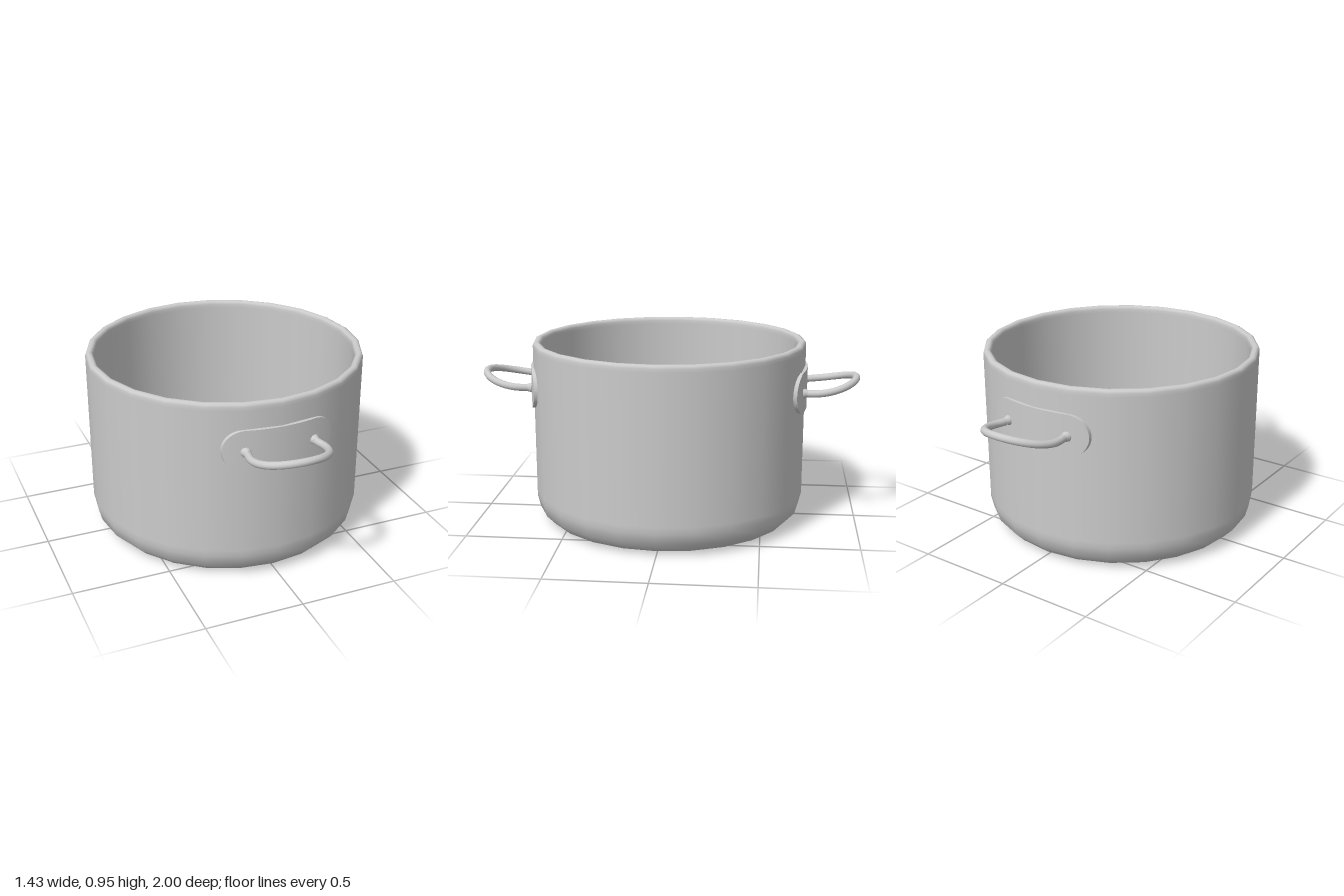
import * as THREE from 'three';

const material = new THREE.MeshStandardMaterial({ color: 0xcccccc });

function addMesh(parent, name, geometry) {
  const mesh = new THREE.Mesh(geometry, material);
  mesh.name = name;
  parent.add(mesh);
  return mesh;
}

// Hollow body: underside, rounded foot, wall, rolled rim, inner wall and floor
function bodyGeometry() {
  const profile = [
    [0, 0], [0.56, 0], [0.59, 0.003], [0.655, 0.018], [0.7, 0.065], [0.715, 0.125], [0.715, 0.16],
    [0.715, 0.92], [0.715, 0.938], [0.711, 0.95], [0.701, 0.955],
    [0.689, 0.955], [0.679, 0.95], [0.675, 0.938], [0.675, 0.92],
    [0.675, 0.17], [0.675, 0.135], [0.662, 0.085], [0.63, 0.05], [0.585, 0.038], [0.55, 0.036], [0, 0.036],
  ].map(([r, y]) => new THREE.Vector2(r, y));
  return new THREE.LatheGeometry(profile, 24);
}

// Rounded mounting plate wrapped around the wall
function plateGeometry() {
  const halfWidth = 0.285, halfHeight = 0.1075, straight = halfWidth - halfHeight;
  const geometry = new THREE.BoxGeometry(2, 2, 1, 40, 1, 1);
  const pos = geometry.attributes.position;
  for (let i = 0; i < pos.count; i++) {
    const x = halfWidth * Math.sin(pos.getX(i) * Math.PI / 2);
    const past = Math.max(0, Math.abs(x) - straight);
    const h = Math.sqrt(Math.max(0, halfHeight ** 2 - past ** 2));
    const radius = pos.getZ(i) > 0 ? 0.727 : 0.7;
    pos.setXYZ(i, x, 0.7175 + pos.getY(i) * h, Math.sqrt(radius ** 2 - x * x));
  }
  geometry.computeVertexNormals();
  return geometry;
}

// Bent wire loop, rising towards its outer end
function loopGeometry() {
  const lift = (z) => 0.713 + 0.053 * Math.max(0, (z - 0.72) / 0.26) ** 2;
  const points = [];
  const add = (x, z) => points.push(new THREE.Vector3(x, lift(z), z));
  add(-0.172, 0.69);
  add(-0.181, 0.74);
  for (let i = 0; i <= 12; i++) {
    const a = Math.PI * (1 - i / 12);
    add(0.188 * Math.cos(a), 0.793 + 0.188 * Math.sin(a));
  }
  add(0.181, 0.74);
  add(0.172, 0.69);
  return new THREE.TubeGeometry(new THREE.CatmullRomCurve3(points), 56, 0.019, 12);
}

function createHandle(name) {
  const handle = new THREE.Group();
  handle.name = name;
  addMesh(handle, 'mountingPlate', plateGeometry());
  addMesh(handle, 'handleLoop', loopGeometry());
  // Flared weld where each end of the wire meets the plate
  for (const side of [-1, 1]) {
    const weld = addMesh(handle, 'weld', new THREE.CylinderGeometry(0.019, 0.027, 0.03, 12));
    weld.rotation.x = Math.PI / 2;
    weld.position.set(side * 0.177, 0.713, 0.715);
  }
  return handle;
}

export function createModel() {
  const pot = new THREE.Group();
  pot.name = 'cookingPot';
  addMesh(pot, 'potBody', bodyGeometry());
  const front = createHandle('frontHandle');
  const back = createHandle('backHandle');
  back.rotation.y = Math.PI;
  pot.add(front, back);
  return pot;
}
